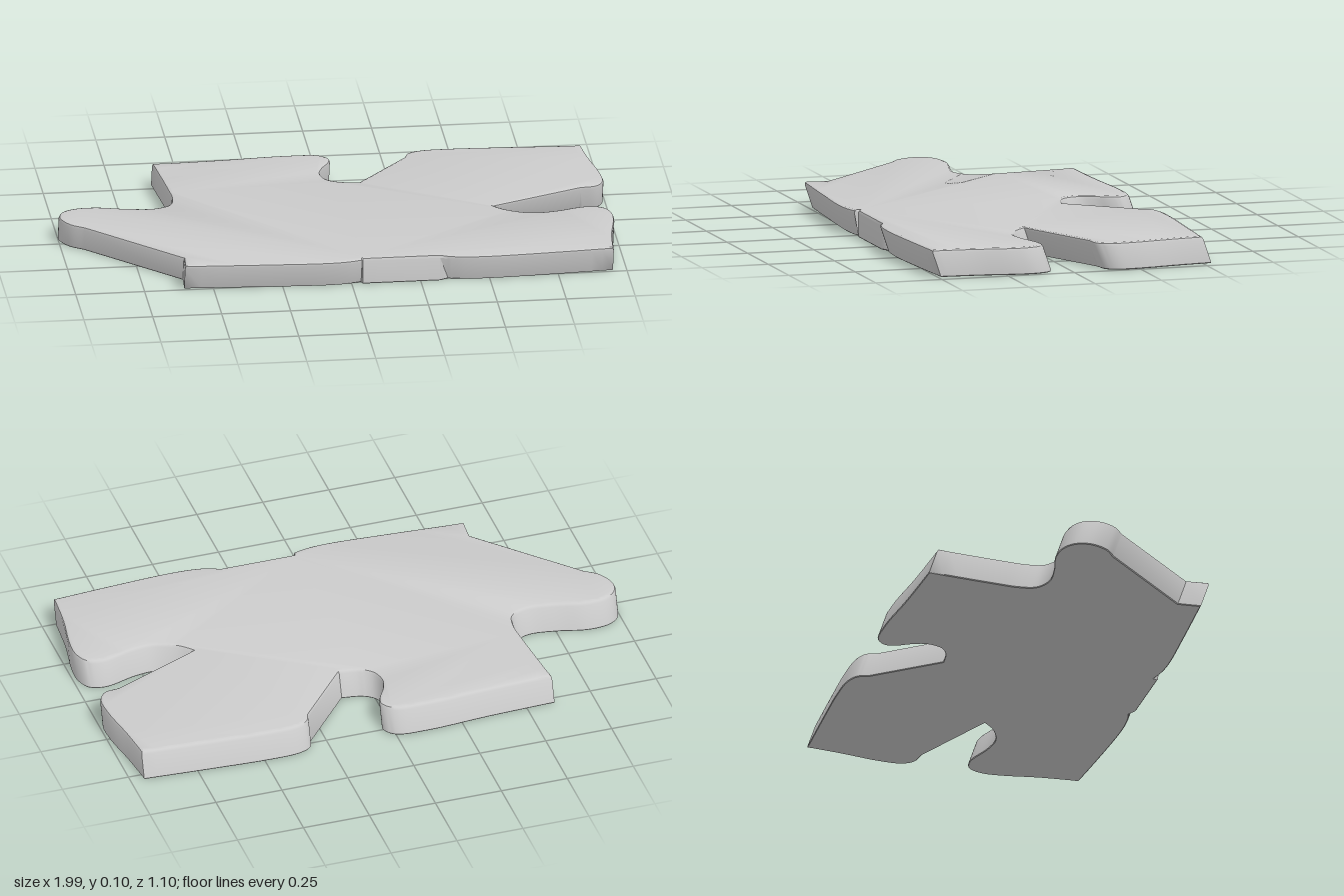
import * as THREE from 'three';
import { toCreasedNormals } from 'three/addons/utils/BufferGeometryUtils.js';

const HEIGHT = 0.1;
const SLANT = 0.34; // sideways lean of the walls, towards +z at the top

// Outline at half height as [x, z] runs, clockwise seen from above.
// Each run is a smooth curve; runs meet at corners or straight cuts.
const RUNS = [
  // back edge, left half, into the socket
  [[-0.605, -0.515], [-0.35, -0.525], [-0.12, -0.54], [0, -0.53], [0.035, -0.49], [0.028, -0.45],
    [0, -0.40], [-0.015, -0.35], [0, -0.295], [0.04, -0.265], [0.115, -0.25]],
  // back edge, right half
  [[0.305, -0.475], [0.32, -0.512], [0.37, -0.535], [0.48, -0.54], [0.7, -0.53], [0.95, -0.515]],
  // right edge, rear half
  [[0.95, -0.515], [0.965, -0.39], [0.99, -0.23], [0.988, -0.15], [0.96, -0.11], [0.9, -0.1]],
  // right socket and front half of the right edge
  [[0.57, 0.04], [0.62, 0.085], [0.7, 0.118], [0.78, 0.112], [0.9, 0.08], [0.96, 0.097],
    [0.985, 0.15], [0.985, 0.22], [0.962, 0.36], [0.95, 0.505]],
  // front edge, right half
  [[0.95, 0.505], [0.75, 0.52], [0.5, 0.533], [0.4, 0.528], [0.35, 0.517]],
  // shallow flat in the middle of the front edge
  [[0.32, 0.517], [0.04, 0.517]],
  // front edge, left half
  [[0.035, 0.517], [-0.02, 0.53], [-0.1, 0.535], [-0.3, 0.525], [-0.605, 0.505]],
  // short left edge before the diagonal cut
  [[-0.605, 0.505], [-0.6, 0.42]],
  // left knob and rear half of the left edge
  [[-0.92, 0.085], [-0.97, 0.045], [-1, -0.025], [-0.985, -0.08], [-0.94, -0.11], [-0.86, -0.116],
    [-0.75, -0.09], [-0.65, -0.08], [-0.59, -0.11], [-0.575, -0.17], [-0.58, -0.26], [-0.605, -0.515]],
];

// Sample the runs into one closed loop
function outline() {
  const pts = [];
  for (const run of RUNS) {
    const curve = new THREE.CatmullRomCurve3(run.map(([x, z]) => new THREE.Vector3(x, 0, z)));
    const n = run.length > 2 ? (run.length - 1) * 5 : 1;
    for (let i = 0; i <= n; i++) {
      const p = curve.getPoint(i / n);
      const last = pts[pts.length - 1];
      if (!last || last.distanceTo(p) > 1e-4) pts.push(p);
    }
  }
  if (pts[0].distanceTo(pts[pts.length - 1]) < 1e-4) pts.pop();
  return pts;
}

// Move the loop inwards, lift it to y and apply the slant
function makeRing(loop, y, inset) {
  const n = loop.length;
  return loop.map((p, i) => {
    const a = p.clone().sub(loop[(i + n - 1) % n]).normalize();
    const b = loop[(i + 1) % n].clone().sub(p).normalize();
    const t = a.add(b).normalize();
    const flat = p.z > 0.4 && p.x > 0.037 && p.x < 0.33; // the front flat stands upright
    const lean = flat ? 0 : (y - HEIGHT / 2) * SLANT;
    return new THREE.Vector3(p.x - t.z * inset, y, p.z + t.x * inset + lean);
  });
}

function slabGeometry() {
  const loop = outline();
  const n = loop.length;
  // wall up to a small rounded top edge
  const rings = [[0, 0.003], [0.003, 0], [0.088, 0], [0.0965, 0.0035], [HEIGHT, 0.012]]
    .map(([y, inset]) => makeRing(loop, y, inset));
  const positions = rings.flat().flatMap((p) => p.toArray());
  const index = [];
  for (let r = 0; r < rings.length - 1; r++) {
    for (let i = 0; i < n; i++) {
      const j = (i + 1) % n;
      const a = r * n + i, b = r * n + j, c = b + n, d = a + n;
      index.push(a, d, c, a, c, b);
    }
  }
  // top and bottom faces
  const cap = (ring) => THREE.ShapeUtils.triangulateShape(ring.map((p) => new THREE.Vector2(p.x, -p.z)), []);
  const top = (rings.length - 1) * n;
  for (const [a, b, c] of cap(rings[rings.length - 1])) index.push(top + a, top + b, top + c);
  for (const [a, b, c] of cap(rings[0])) index.push(a, c, b);

  const geometry = new THREE.BufferGeometry();
  geometry.setAttribute('position', new THREE.Float32BufferAttribute(positions, 3));
  geometry.setIndex(index);
  return toCreasedNormals(geometry, 0.6);
}

export function createModel() {
  const group = new THREE.Group();
  group.name = 'puzzlePiece';
  const slab = new THREE.Mesh(slabGeometry(), new THREE.MeshStandardMaterial({ color: 0xcccccc }));
  slab.name = 'interlockingSlab';
  group.add(slab);
  return group;
}
